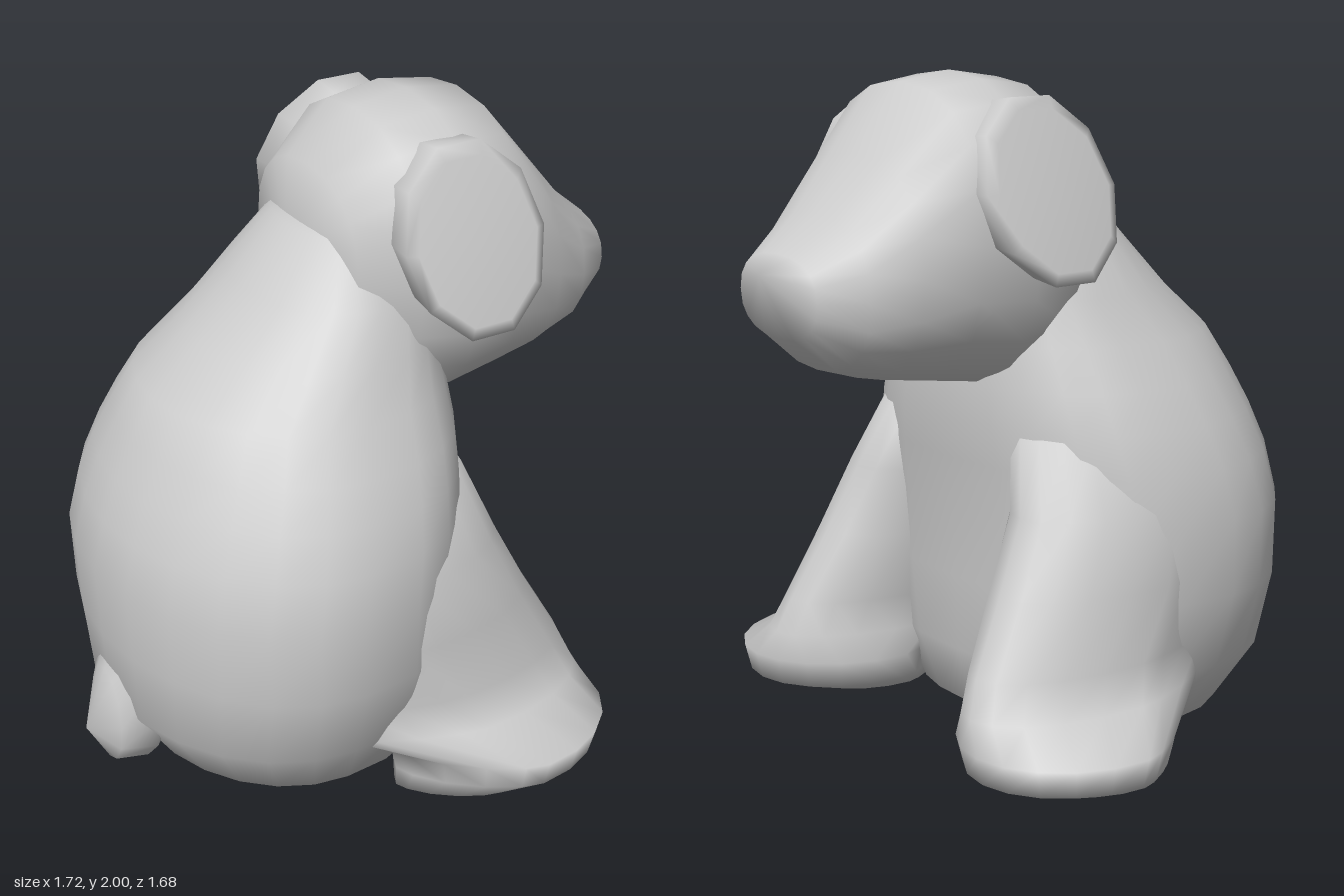
import * as THREE from 'three';
import { mergeVertices } from 'three/addons/utils/BufferGeometryUtils.js';

const material = new THREE.MeshStandardMaterial({ color: 0xcccccc });
const X = [1, 0, 0], Y = [0, 1, 0], Z = [0, 0, 1];

// Smooth skin over oval rings. Row: [x, y, z, radius along U, radius along V].
// The end rows have no radius, which closes the form. side = -1 mirrors it in z.
// power(t) below 1 makes the ring squarer at that angle, above 1 more pointed.
function loft(name, rows, U, V, segments, side = 1, power = () => 1) {
  const pos = [], index = [];
  const shaped = (n, e) => Math.sign(n) * Math.abs(n) ** e;
  for (const [x, y, z, a = 0, b = 0] of rows) {
    for (let i = 0; i < segments; i++) {
      const t = (i / segments) * Math.PI * 2;
      const u = a * shaped(Math.cos(t), power(t)), v = b * shaped(Math.sin(t), power(t));
      pos.push(x + U[0] * u + V[0] * v, y + U[1] * u + V[1] * v, side * (z + U[2] * u + V[2] * v));
    }
  }
  for (let r = 0; r < rows.length - 1; r++) {
    for (let i = 0; i < segments; i++) {
      const a = r * segments + i, b = r * segments + (i + 1) % segments;
      const c = a + segments, d = b + segments;
      if (r > 0) index.push(a, b, c);
      if (r < rows.length - 2) index.push(b, d, c);
    }
  }
  // turn the faces outward
  let volume = 0;
  const p = (i) => new THREE.Vector3().fromArray(pos, i * 3);
  for (let i = 0; i < index.length; i += 3) {
    volume += p(index[i]).dot(p(index[i + 1]).cross(p(index[i + 2])));
  }
  if (volume < 0) index.reverse();

  let geometry = new THREE.BufferGeometry();
  geometry.setAttribute('position', new THREE.Float32BufferAttribute(pos, 3));
  geometry.setIndex(index);
  geometry = mergeVertices(geometry, 1e-4);
  geometry.computeVertexNormals();
  const mesh = new THREE.Mesh(geometry, material);
  mesh.name = name;
  return mesh;
}

export function createModel() {
  const model = new THREE.Group();
  model.name = 'sittingPuppy';

  // Body, fuller toward the chest: height, back x, front x, half width
  const body = [
    [0, -0.27, -0.27, 0], [0.05, -0.5, 0.04, 0.24], [0.12, -0.65, 0.15, 0.48],
    [0.3, -0.77, 0.2, 0.59], [0.53, -0.79, 0.21, 0.65], [0.75, -0.8, 0.22, 0.65],
    [0.9, -0.765, 0.24, 0.625], [1.02, -0.72, 0.25, 0.58], [1.13, -0.665, 0.25, 0.53],
    [1.25, -0.6, 0.24, 0.46], [1.38, -0.45, 0.22, 0.39], [1.52, -0.31, 0.2, 0.33],
    [1.68, -0.17, 0.12, 0.22], [1.75, 0, 0, 0],
  ].map(([y, back, front, w]) => [(back + front) / 2, y, 0, (front - back) / 2, w]);
  model.add(loft('body', body, X, Z, 24, 1, (t) => (Math.cos(t) > 0 ? 0.78 : 1)));

  // Head and snout: x, bottom, top, half width
  const head = [
    [-0.17, 1.6, 1.6, 0], [-0.1, 1.32, 1.84, 0.28], [0.05, 1.16, 1.975, 0.375],
    [0.22, 1.12, 2.0, 0.4], [0.39, 1.145, 1.975, 0.375], [0.55, 1.17, 1.79, 0.32],
    [0.68, 1.21, 1.64, 0.26], [0.8, 1.31, 1.54, 0.185], [0.86, 1.49, 1.49, 0],
  ].map(([x, low, high, w]) => [x, (low + high) / 2, 0, w, (high - low) / 2]);
  model.add(loft('head', head, Z, Y, 20, 1, () => 0.86));

  // Tail stub
  model.add(loft('tail', [
    [-0.5, 0.32, 0], [-0.71, 0.32, 0, 0.2, 0.22], [-0.79, 0.25, 0, 0.1, 0.16], [-0.86, 0.22, 0],
  ], Z, Y, 12));

  for (const side of [1, -1]) {
    const prefix = side > 0 ? 'left' : 'right';

    // Flat ear leaning outward, rooted in the side of the head
    const ear = [[-0.28, 0], [-0.2, 0.8], [-0.09, 0.95], [0, 1], [0.012, 0.86], [0.018, 0]]
      .map(([d, s]) => [0.19, 1.7, 0.41 + d, 0.222 * s, 0.275 * s]);
    model.add(loft(prefix + 'Ear', ear, X, [0, 0.93, -0.37], 10, side));

    // Leg growing out of the flank and flaring into one broad foot
    model.add(loft(prefix + 'LegAndFoot', [
      [-0.12, 1.12, 0.25], [-0.1, 1.0, 0.3, 0.31, 0.2], [-0.1, 0.8, 0.385, 0.38, 0.215],
      [-0.05, 0.6, 0.415, 0.43, 0.22], [0.05, 0.4, 0.45, 0.44, 0.195],
      [0.1, 0.3, 0.475, 0.43, 0.22], [0.21, 0.22, 0.54, 0.35, 0.3],
      [0.21, 0.14, 0.54, 0.33, 0.28], [0.12, 0.08, 0.54, 0.24, 0.19], [0.06, 0.04, 0.6],
    ], X, Z, 20, side, (t) => (Math.cos(t) < 0 ? 1.4 : 1)));
  }
  return model;
}
